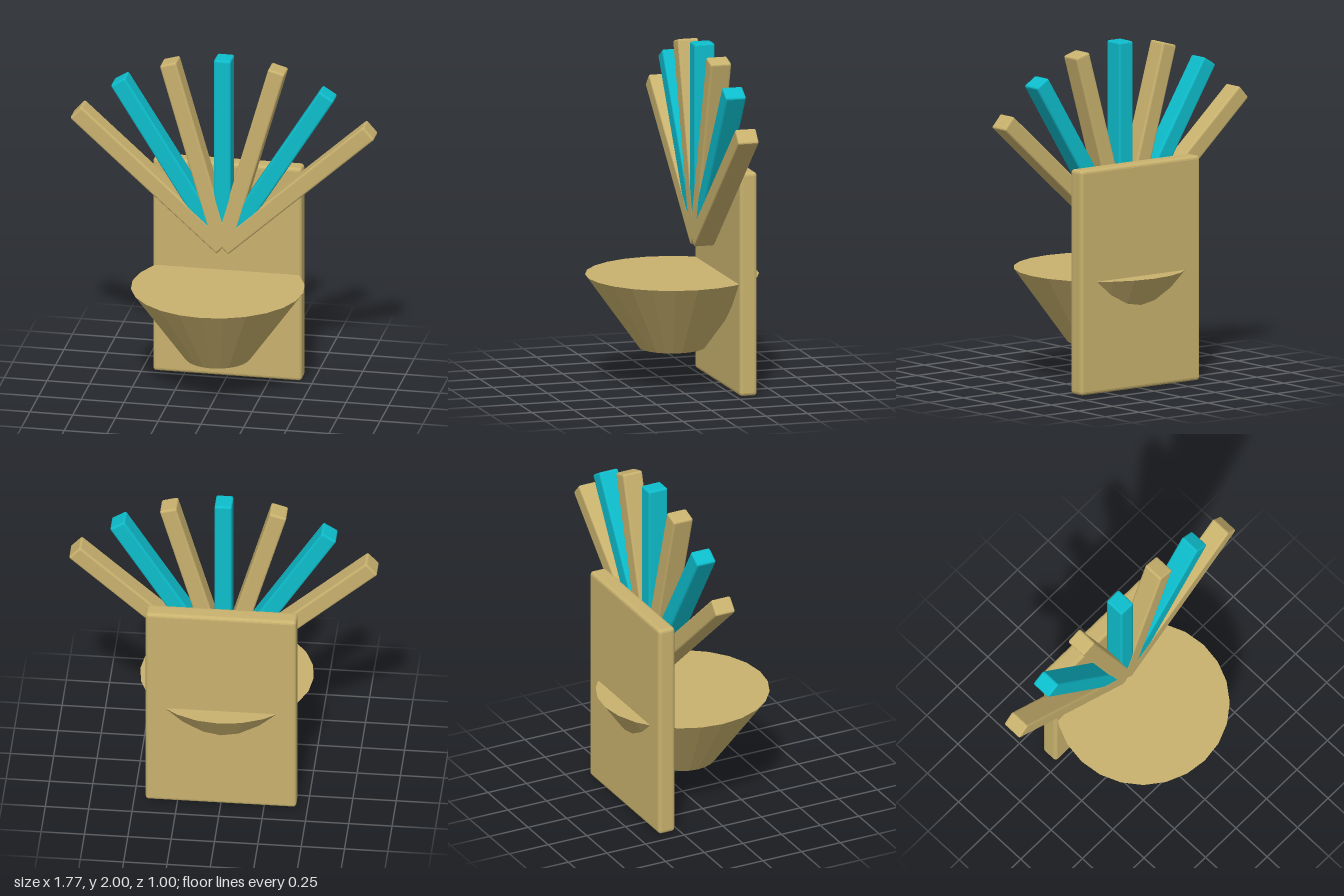
import * as THREE from 'three';
import { RoundedBoxGeometry } from 'three/addons/geometries/RoundedBoxGeometry.js';

export function createModel() {
  const model = new THREE.Group();
  model.name = 'wallPlanter';

  const tan = new THREE.MeshStandardMaterial({ color: 0xc9b26e, flatShading: true });
  tan.name = 'tan wood';
  const cyan = new THREE.MeshStandardMaterial({ color: 0x0dbdcc, flatShading: true });
  cyan.name = 'cyan paint';

  function add(parent, name, geometry, material, x, y, z) {
    const mesh = new THREE.Mesh(geometry, material);
    mesh.name = name;
    mesh.position.set(x, y, z);
    parent.add(mesh);
    return mesh;
  }

  // Upright back board with softened edges
  add(model, 'backBoard', new RoundedBoxGeometry(0.87, 1.31, 0.105, 2, 0.02), tan, 0, 0.655, -0.325);

  // Tapered bowl, closed at the top, passing through the board
  add(model, 'bowl', new THREE.CylinderGeometry(0.5, 0.19, 0.43, 24), tan, 0, 0.44, 0);

  // Fan of seven bars sharing one pivot, alternating colours
  const fan = new THREE.Group();
  fan.name = 'fan';
  fan.position.set(0, 0.845, -0.182);
  model.add(fan);

  const length = 1.155;
  for (let i = -3; i <= 3; i++) {
    const painted = i % 2 === 0;
    const angle = THREE.MathUtils.degToRad(16 * i);
    // Painted bars are a hair thinner so that overlapping faces stay clean
    const depth = painted ? 0.122 : 0.125;
    const bar = add(
      fan, 'fanBar' + (i + 4),
      new RoundedBoxGeometry(0.1, length, depth, 2, 0.012),
      painted ? cyan : tan,
      Math.sin(angle) * length / 2, Math.cos(angle) * length / 2, 0
    );
    bar.rotation.z = -angle;
  }

  return model;
}
